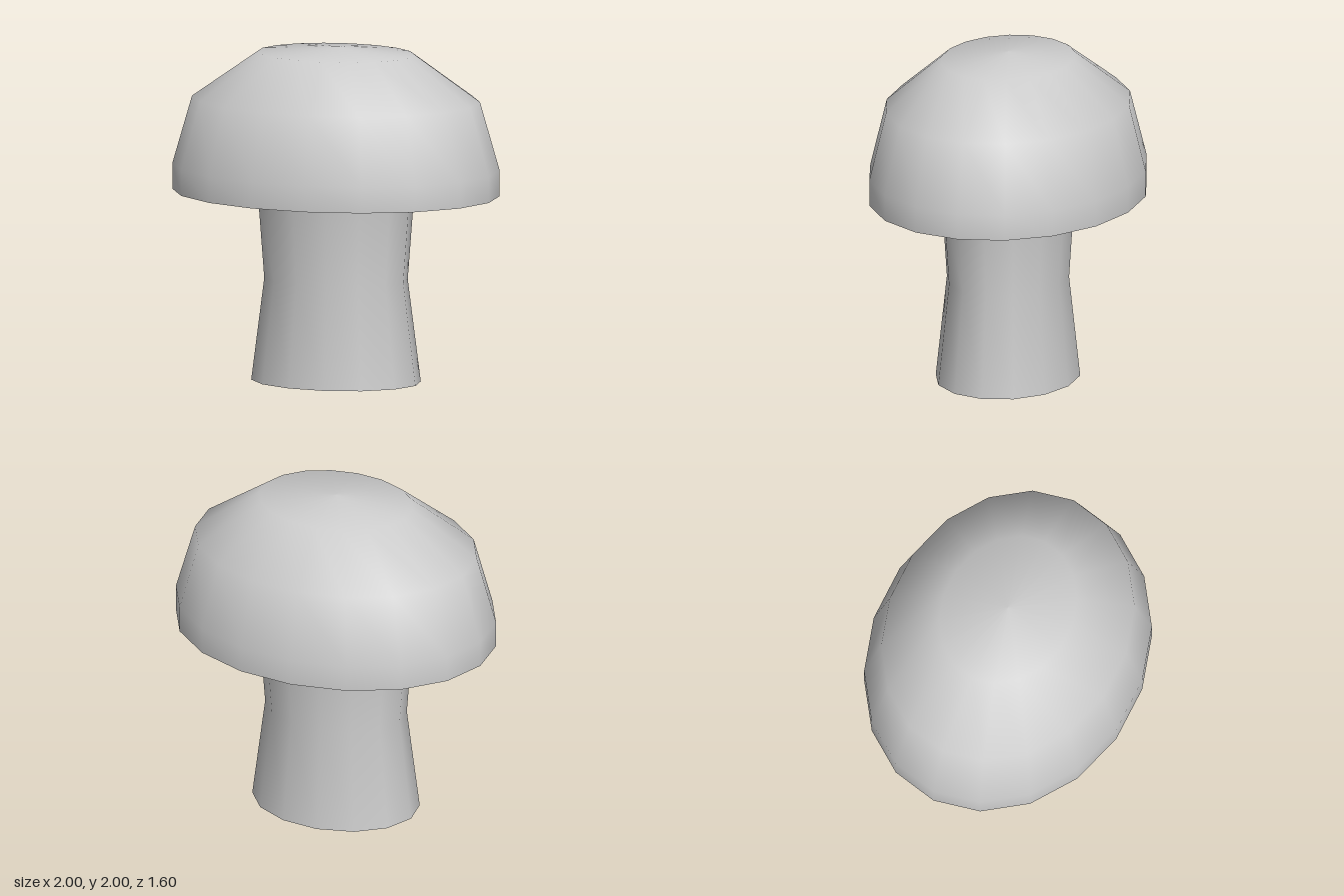
import * as THREE from 'three';

const DEPTH = 0.812; // z radius relative to x radius

// Elliptical smooth lathe with a corner on the x axis; profile runs bottom to top
function ovalLathe(profile, sides) {
  const points = profile.map(([r, y]) => new THREE.Vector2(r, y));
  return new THREE.LatheGeometry(points, sides, Math.PI / 2).scale(1, 1, DEPTH);
}

// Flat oval facing down
function ovalBase(radius, y, sides) {
  return new THREE.CircleGeometry(radius, sides)
    .rotateX(Math.PI / 2)
    .scale(1, 1, DEPTH)
    .translate(0, y, 0);
}

export function createModel() {
  const model = new THREE.Group();
  model.name = 'mushroom';
  const grey = new THREE.MeshStandardMaterial({ color: 0xcccccc });
  grey.name = 'light grey';

  const add = (name, geometry) => {
    const mesh = new THREE.Mesh(geometry, grey);
    mesh.name = name;
    model.add(mesh);
  };

  // Domed cap with a flat underside
  add('cap', ovalLathe([[1, 1.125], [1, 1.28], [0.88, 1.685], [0.48, 1.96], [0, 2]], 18));
  add('capUnderside', ovalBase(1, 1.125, 18));

  // Waisted stem
  add('stem', ovalLathe([[0.52, 0], [0.44, 0.61], [0.48, 1.125]], 14));
  add('stemBase', ovalBase(0.52, 0, 14));

  return model;
}
